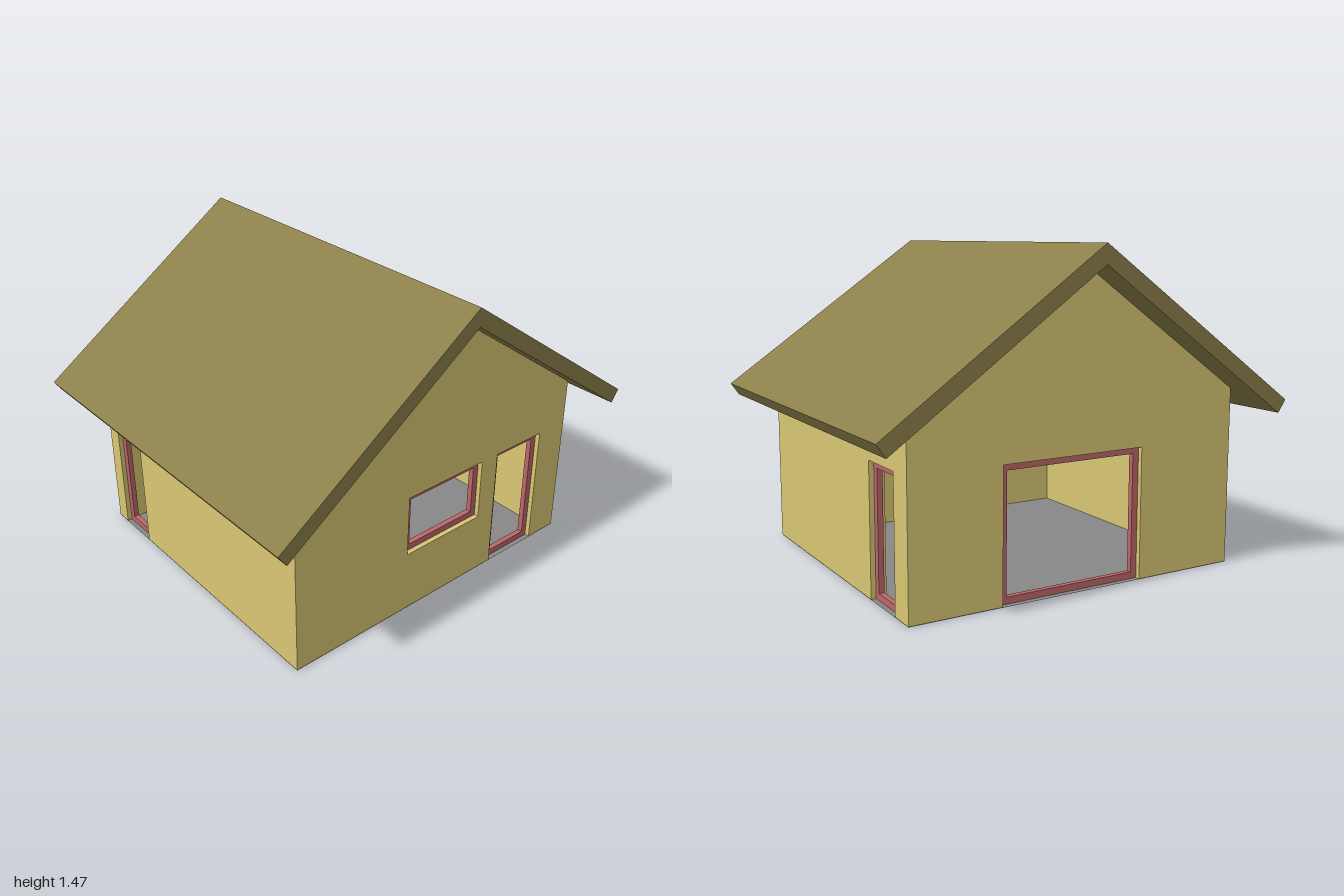
import * as THREE from 'three';

const W = 0.81, D = 0.73, T = 0.07;          // half width, half depth, wall thickness
const EAVE = 0.81, PEAK = 1.378, LIFT = 0.002;

const material = (color, extra = {}) => new THREE.MeshStandardMaterial({ color, ...extra });
const v = (x, y) => new THREE.Vector2(x, y);
const rect = (x0, x1, y0, y1) => [v(x0, y0), v(x1, y0), v(x1, y1), v(x0, y1)];
const extrude = (shape, depth) => new THREE.ExtrudeGeometry(shape, { depth, bevelEnabled: false });

export function createModel() {
  const house = new THREE.Group();
  const wallMat = material(0xd9c773);
  const frameMat = material(0xbb6668);
  const roofMat = material(0x8b7f4a);
  const floorMat = material(0x888888, { side: THREE.DoubleSide });

  const addMesh = (parent, name, geometry, mat) => {
    const mesh = new THREE.Mesh(geometry, mat);
    mesh.name = name;
    parent.add(mesh);
    return mesh;
  };

  // A wall with one framed opening; floor-level openings notch the bottom edge
  const addWall = (name, half, top, [x0, x1, y0, y1]) => {
    const group = new THREE.Group();
    group.name = name;
    const notch = y0 === 0 ? [v(x0, 0), v(x0, y1), v(x1, y1), v(x1, 0)] : [];
    const wall = new THREE.Shape([v(-half, 0), ...notch, v(half, 0), ...top]);
    if (y0 > 0) wall.holes.push(new THREE.Path(rect(x0, x1, y0, y1).reverse()));
    addMesh(group, name + 'Panel', extrude(wall, T), wallMat);

    // Recessed frame in the middle of the wall
    const b = 0.03, depth = 0.025;
    const frame = new THREE.Shape(rect(x0, x1, y0, y1));
    frame.holes.push(new THREE.Path(rect(x0 + b, x1 - b, y0 + b, y1 - b).reverse()));
    addMesh(group, name + 'Frame', extrude(frame, depth), frameMat).position.z = (T - depth) / 2;
    house.add(group);
    return group;
  };

  // Gable walls; the front one also carries the door
  const gableTop = [v(W, EAVE), v(0, PEAK), v(-W, EAVE)];
  const front = addWall('frontWall', W, gableTop, [0.35, 0.64, 0, 0.59]);
  front.position.set(0, LIFT, D - T);
  const back = addWall('backWall', W, gableTop, [-0.31, 0.385, 0, 0.59]);
  back.position.set(0, LIFT, -D);

  // Front window cut into the gable beside the door
  const panel = front.children[0];
  const [wx0, wx1, wy0, wy1] = [-0.195, 0.25, 0.295, 0.59];
  const pierced = new THREE.Shape([
    v(-W, 0), v(0.35, 0), v(0.35, 0.59), v(0.64, 0.59), v(0.64, 0), v(W, 0), ...gableTop]);
  pierced.holes.push(new THREE.Path(rect(wx0, wx1, wy0, wy1).reverse()));
  panel.geometry = extrude(pierced, T);
  const windowFrame = new THREE.Shape(rect(wx0, wx1, wy0, wy1));
  windowFrame.holes.push(new THREE.Path(rect(wx0 + 0.03, wx1 - 0.03, wy0 + 0.03, wy1 - 0.03).reverse()));
  addMesh(front, 'frontWindowFrame', extrude(windowFrame, 0.025), frameMat).position.z = (T - 0.025) / 2;

  // Side walls between the gables, with tall openings near the back
  const sideHalf = D - T;
  const sideTop = [v(sideHalf, EAVE), v(-sideHalf, EAVE)];
  const left = addWall('leftWall', sideHalf, sideTop, [0.375, 0.61, 0, 0.59]);
  left.position.set(W - T, LIFT, 0);
  const right = addWall('rightWall', sideHalf, sideTop, [0.45, 0.655, 0, 0.59]);
  right.position.set(-W, LIFT, 0);
  for (const side of [left, right]) side.rotation.y = Math.PI / 2;

  // Pitched roof slab with square-cut eaves
  const roof = new THREE.Shape([
    v(0, 1.465), v(-1, 0.765), v(-0.96, 0.708), v(0, 1.38), v(0.96, 0.708), v(1, 0.765)]);
  addMesh(house, 'roof', extrude(roof, 1.76), roofMat).position.z = -0.88;

  // Floor
  const floor = addMesh(house, 'floor', new THREE.PlaneGeometry(2 * W, 2 * D), floorMat);
  floor.rotation.x = -Math.PI / 2;

  return house;
}
